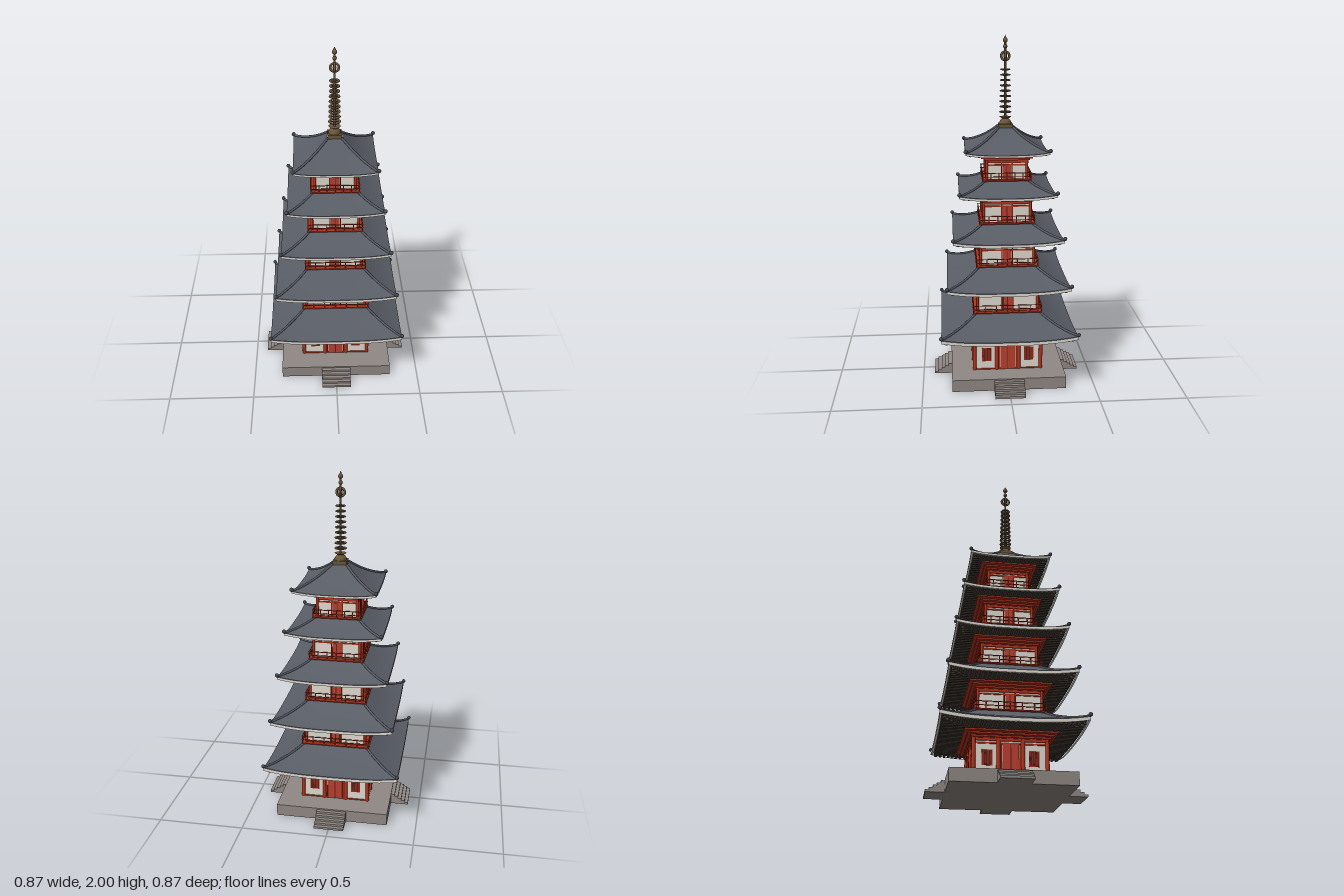
import * as THREE from 'three';

const mat = (name, color) => {
  const m = new THREE.MeshStandardMaterial({ color });
  m.name = name;
  return m;
};
const slate = mat('slate tile', 0x595d66);
const ridgeGrey = mat('ridge end tile', 0x45494f);
const stone = mat('stone', 0x918984);
const red = mat('red lacquer', 0xb5351f);
const doorRed = mat('door red', 0xbb4030);
const darkRed = mat('lattice red', 0x5e2018);
const plaster = mat('plaster', 0xe2ddd3);
const wood = mat('dark wood', 0x50463e);
const bronze = mat('bronze', 0x6a563a);

function add(parent, name, geo, material, x = 0, y = 0, z = 0) {
  const m = new THREE.Mesh(geo, material);
  m.name = name;
  m.position.set(x, y, z);
  parent.add(m);
  return m;
}
// box given by its bottom height y
const box = (p, name, material, w, h, d, x, y, z) =>
  add(p, name, new THREE.BoxGeometry(w, h, d), material, x, y + h / 2, z);
const post = (p, name, material, r, h, x, y, z, sides = 10) =>
  add(p, name, new THREE.CylinderGeometry(r, r, h, sides), material, x, y + h / 2, z);

// surface from a rule (u in -1..1, v in 0..1) => [x, y, z]
function surface(p, name, material, nu, nv, rule) {
  const geo = new THREE.PlaneGeometry(2, 1, nu, nv);
  const pos = geo.attributes.position;
  for (let i = 0; i < pos.count; i++) pos.setXYZ(i, ...rule(pos.getX(i), pos.getY(i) + 0.5));
  geo.computeVertexNormals();
  return add(p, name, geo, material);
}

// builds one side facing +z and repeats it around the tower
function fourSides(parent, name, build) {
  const side = new THREE.Group();
  build(side);
  for (let k = 0; k < 4; k++) {
    const s = side.clone();
    s.name = name + (k + 1);
    s.rotation.y = k * Math.PI / 2;
    parent.add(s);
  }
}

function buildRoof(parent, E, tip, topHalf, topY, bodyHalf) {
  const s = E / 0.388, rise = 0.025 * s, y0 = tip - 0.008 - rise;
  const tile = 0.006 * s, bottom = y0 - 0.022 * s, inner = bodyHalf + 0.02;
  const lift = (u) => rise * Math.pow(Math.abs(u), 3);
  const roofAt = (u, v) => {
    const w = THREE.MathUtils.lerp(E, topHalf, v);
    const y = y0 + (topY - y0) * (0.55 * v + 0.45 * v * v) + lift(u) * (1 - v) ** 2;
    return [u * w, y, w];
  };
  fourSides(parent, 'roofSide', (g) => {
    surface(g, 'roofSlope', slate, 24, 10, roofAt);
    surface(g, 'tileEdge', slate, 24, 1, (u, v) => [u * E, y0 + lift(u) - tile * (1 - v), E]);
    surface(g, 'eaveTrim', plaster, 24, 1,
      (u, v) => [u * E, THREE.MathUtils.lerp(bottom, y0 - tile, v) + lift(u), E]);
    surface(g, 'eaveTrimBottom', plaster, 24, 1, (u, v) => {
      const w = E - 0.012 * (1 - v);
      return [u * w, bottom + lift(u), w];
    });
    surface(g, 'soffit', wood, 24, 4, (u, v) => {
      const w = THREE.MathUtils.lerp(inner, E - 0.012, v);
      return [u * w, bottom + 0.005 + lift(u) * v * v, w];
    });
    // rafters, cut off at the hips and raised a little towards the corners
    const n = Math.round(15 * s), end = E - 0.018;
    for (let i = -n; i <= n; i++) {
      const x = (i / n) * (end - 0.012), start = Math.max(inner, Math.abs(x));
      box(g, 'rafter', wood, 0.011, 0.012, end - start, x, bottom + 0.3 * lift(i / n), (end + start) / 2);
    }
    // hip ridge with its end ball
    const pts = [];
    for (let i = 0; i <= 8; i++) {
      const [x, y, z] = roofAt(1, i / 8);
      pts.push(new THREE.Vector3(x, y + 0.002, z));
    }
    add(g, 'hipRidge', new THREE.TubeGeometry(new THREE.CatmullRomCurve3(pts), 16, 0.0068, 8), slate);
    add(g, 'ridgeEnd', new THREE.SphereGeometry(0.0115, 12, 8), ridgeGrey, E, tip, E);
    add(g, 'ridgeTop', new THREE.SphereGeometry(0.007, 8, 6), slate, topHalf, topY + 0.003, topHalf);
  });
  return bottom;
}

function buildStorey(parent, i, b, floor, eave) {
  const wallTop = eave - 0.036, h = wallTop - floor, ground = i === 0;
  const col = ground ? 0.011 : 0.008, face = b - 0.012;
  box(parent, 'walls', plaster, face * 2, h + 0.02, face * 2, 0, floor, 0);
  // stepped bracket layers
  [0.008, 0.024, 0.042].forEach((o, k) =>
    box(parent, 'bracketLayer', red, (b + o) * 2, 0.009, (b + o) * 2, 0, wallTop + 0.003 + k * 0.012, 0));
  box(parent, 'bracketCore', red, b * 2, 0.036, b * 2, 0, wallTop, 0);
  fourSides(parent, 'facade', (g) => {
    post(g, 'cornerColumn', red, col, h, b - col, floor, b - col);
    box(g, 'topBeam', red, b * 2 - 0.012, 0.014, 0.016, 0, wallTop - 0.014, face);
    box(g, 'lintel', red, b * 2 - 0.012, 0.008, 0.012, 0, wallTop - 0.03, face);
    box(g, 'sill', red, b * 2 - 0.012, 0.006, 0.014, 0, floor, face);
    const doorHalf = ground ? 0.045 : 0.026, doorH = h - 0.032;
    for (const s of [-1, 1]) {
      box(g, 'doorLeaf', doorRed, doorHalf - 0.002, doorH, 0.006, s * doorHalf / 2, floor + 0.002, face + 0.004);
      if (ground) {
        post(g, 'doorColumn', red, 0.011, h, s * 0.065, floor, face + 0.002);
        box(g, 'doorFrame', red, 0.008, doorH, 0.012, s * 0.05, floor, face + 0.002);
        box(g, 'windowFrame', red, 0.056, 0.084, 0.006, s * 0.124, floor + 0.052, face);
        box(g, 'windowPanel', darkRed, 0.048, 0.076, 0.004, s * 0.124, floor + 0.056, face + 0.003);
        for (let k = -2; k <= 2; k++)
          box(g, 'windowBar', red, 0.002, 0.076, 0.004, s * 0.124 + k * 0.009, floor + 0.056, face + 0.004);
      } else {
        box(g, 'doorFrame', red, 0.007, h, 0.012, s * 0.03, floor, face + 0.003);
      }
    }
    box(g, 'doorGap', darkRed, 0.004, doorH, 0.004, 0, floor + 0.002, face + 0.006);
    if (ground) return;
    // balcony railing
    const r = b + 0.014;
    for (const y of [0.02, 0.042])
      box(g, 'rail', red, r * 2 + 0.008, 0.004, 0.004, 0, floor + y, r);
    for (let k = -3; k < 3; k++)
      box(g, 'railPost', red, 0.005, 0.046, 0.005, k * r / 3, floor, r);
  });
  if (!ground) box(parent, 'balconyDeck', red, (b + 0.018) * 2, 0.006, (b + 0.018) * 2, 0, floor - 0.003, 0);
}

function buildFinial(parent) {
  const g = new THREE.Group();
  g.name = 'finial';
  parent.add(g);
  box(g, 'finialBox', bronze, 0.08, 0.026, 0.08, 0, 1.48, 0);
  add(g, 'dome', new THREE.SphereGeometry(0.035, 20, 8, 0, Math.PI * 2, 0, Math.PI / 2), bronze, 0, 1.504, 0);
  add(g, 'flower', new THREE.CylinderGeometry(0.034, 0.018, 0.01, 16), bronze, 0, 1.54, 0);
  post(g, 'mast', bronze, 0.006, 0.46, 0, 1.52, 0);
  // nine flattened rings with spokes
  for (let i = 0; i < 9; i++) {
    const y = 1.572 + i * 0.0298, r = 0.0285 - i * 0.0008;
    const ring = add(g, 'ring', new THREE.TorusGeometry(r, 0.007, 8, 24), bronze, 0, y, 0);
    ring.rotation.x = Math.PI / 2;
    ring.scale.z = 0.6;
    box(g, 'spoke', bronze, r * 2, 0.004, 0.006, 0, y - 0.002, 0);
    box(g, 'spoke', bronze, 0.006, 0.004, r * 2, 0, y - 0.002, 0);
    post(g, 'ringHub', bronze, 0.01, 0.008, 0, y - 0.004, 0);
  }
  // crossed upright hoops around a jewel
  for (const a of [0, Math.PI / 2])
    add(g, 'flameHoop', new THREE.TorusGeometry(0.023, 0.007, 8, 24), bronze, 0, 1.885, 0).rotation.y = a;
  add(g, 'hoopJewel', new THREE.SphereGeometry(0.011, 12, 8), bronze, 0, 1.885, 0);
  add(g, 'lowerJewel', new THREE.SphereGeometry(0.012, 12, 8), bronze, 0, 1.937, 0);
  add(g, 'upperJewel', new THREE.SphereGeometry(0.014, 12, 8), bronze, 0, 1.971, 0);
  add(g, 'tip', new THREE.ConeGeometry(0.011, 0.024, 10), bronze, 0, 1.988, 0);
}

export function createModel() {
  const model = new THREE.Group();
  model.name = 'pagoda';

  // stone platform with a stair on each side
  const base = new THREE.Group();
  base.name = 'platform';
  model.add(base);
  box(base, 'platformBlock', stone, 0.66, 0.071, 0.66, 0, 0, 0);
  fourSides(base, 'stair', (g) => {
    for (let k = 0; k < 5; k++)
      box(g, 'step', stone, 0.174, 0.0125, 0.433 - k * 0.0205 - 0.32, 0, k * 0.0125, (0.433 - k * 0.0205 + 0.32) / 2);
  });

  const half = [0.206, 0.183, 0.162, 0.142, 0.122];
  const eaves = [0.388, 0.349, 0.311, 0.272, 0.233];
  const tips = [0.358, 0.634, 0.903, 1.154, 1.385];
  const tops = [0.427, 0.703, 0.953, 1.2, 1.485];
  for (let i = 0; i < 5; i++) {
    const tier = new THREE.Group();
    tier.name = 'tier' + (i + 1);
    model.add(tier);
    const topHalf = i < 4 ? half[i + 1] - 0.004 : 0.043;
    const eave = buildRoof(tier, eaves[i], tips[i], topHalf, tops[i], half[i]);
    buildStorey(tier, i, half[i], i ? tops[i - 1] : 0.07, eave);
  }
  buildFinial(model);
  return model;
}
